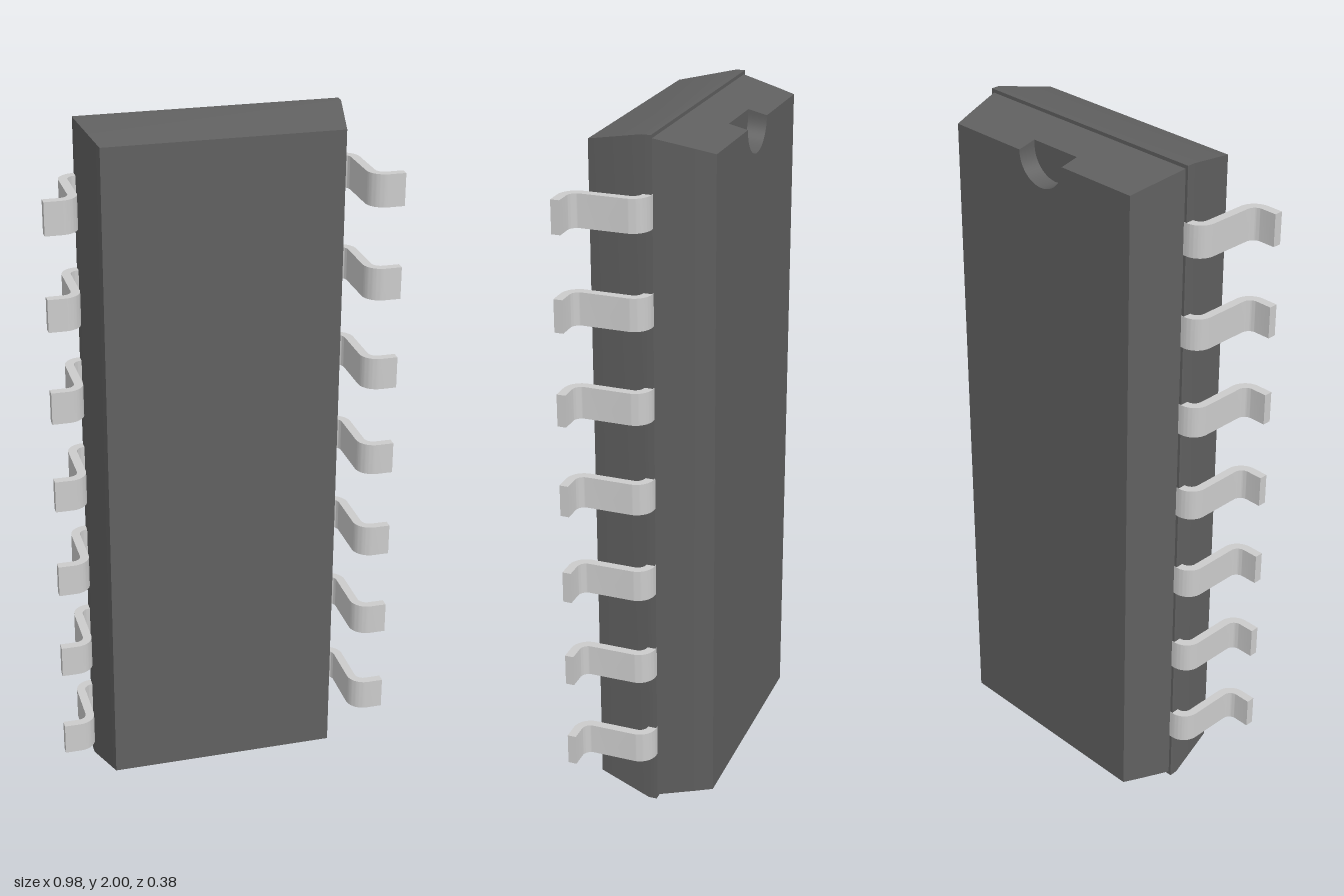
import * as THREE from 'three';
import { toCreasedNormals } from 'three/addons/utils/BufferGeometryUtils.js';

const bodyMaterial = new THREE.MeshStandardMaterial({ color: 0x606060 });
const leadMaterial = new THREE.MeshStandardMaterial({ color: 0xcccccc });

// Outline of the body: half width w, inset from both ends, optional round notch in the top end.
const NOTCH_RADIUS = 0.08, NOTCH_Y = 1.953;
function outline(w, inset, notched) {
  const top = 2 - inset;
  const points = [[-w, inset], [w, inset], [w, top]];
  if (notched) {
    points.push([NOTCH_RADIUS, top]);
    for (let i = 0; i <= 24; i++) {
      const a = -Math.PI * i / 24;
      points.push([NOTCH_RADIUS * Math.cos(a), NOTCH_Y + NOTCH_RADIUS * Math.sin(a)]);
    }
    points.push([-NOTCH_RADIUS, top]);
  }
  points.push([-w, top]);
  return points.map(([x, y]) => new THREE.Vector2(x, y));
}

// Solid through sections { z, points }, ordered from back to front, with both ends closed.
function loft(sections) {
  const positions = [];
  const put = (section, i) => positions.push(section.points[i].x, section.points[i].y, section.z);
  for (let k = 0; k < sections.length - 1; k++) {
    const a = sections[k], b = sections[k + 1], n = a.points.length;
    for (let i = 0; i < n; i++) {
      const j = (i + 1) % n;
      put(a, i); put(a, j); put(b, j);
      put(a, i); put(b, j); put(b, i);
    }
  }
  const back = sections[0], front = sections[sections.length - 1];
  for (const [i, j, k] of THREE.ShapeUtils.triangulateShape(front.points, [])) {
    put(front, i); put(front, j); put(front, k);
  }
  for (const [i, j, k] of THREE.ShapeUtils.triangulateShape(back.points, [])) {
    put(back, i); put(back, k); put(back, j);
  }
  const geometry = new THREE.BufferGeometry();
  geometry.setAttribute('position', new THREE.Float32BufferAttribute(positions, 3));
  geometry.computeVertexNormals();
  return toCreasedNormals(geometry, 0.3);
}

function addMesh(parent, name, geometry, material) {
  const mesh = new THREE.Mesh(geometry, material);
  mesh.name = name;
  parent.add(mesh);
  return mesh;
}

// Bent strip: shoulder, rounded bend, leg, rounded bend, foot.
function leadGeometry() {
  const inner = 0.025, outer = 0.05, width = 0.092;
  const shape = new THREE.Shape();
  shape.moveTo(0.34, 0.035);
  shape.lineTo(0.369, 0.035);
  shape.absarc(0.369, -0.015, outer, Math.PI / 2, 0, true);
  shape.lineTo(0.419, -0.141);
  shape.absarc(0.444, -0.141, inner, Math.PI, Math.PI * 1.5, false);
  shape.lineTo(0.49, -0.166);
  shape.lineTo(0.49, -0.191);
  shape.lineTo(0.444, -0.191);
  shape.absarc(0.444, -0.141, outer, Math.PI * 1.5, Math.PI, true);
  shape.lineTo(0.394, -0.015);
  shape.absarc(0.369, -0.015, inner, 0, Math.PI / 2, false);
  shape.lineTo(0.34, 0.01);
  const geometry = new THREE.ExtrudeGeometry(shape, { depth: width, bevelEnabled: false, curveSegments: 10 });
  geometry.translate(0, 0, -width / 2);
  geometry.rotateX(-Math.PI / 2);
  return toCreasedNormals(geometry, 0.5);
}

export function createModel() {
  const model = new THREE.Group();
  model.name = 'integratedCircuit';

  // Body: tapered front half with a straight rim, stepped-in back half, notched back layer
  const body = new THREE.Group();
  body.name = 'body';
  model.add(body);
  addMesh(body, 'frontHalf', loft([
    { z: -0.034, points: outline(0.368, 0) },
    { z: -0.009, points: outline(0.368, 0) },
    { z: 0.152, points: outline(0.333, 0.035) },
  ]), bodyMaterial);
  addMesh(body, 'backHalf', loft([
    { z: -0.141, points: outline(0.337, 0.033) },
    { z: -0.034, points: outline(0.36, 0.01) },
  ]), bodyMaterial);
  addMesh(body, 'notchedBack', loft([
    { z: -0.194, points: outline(0.325, 0.045, true) },
    { z: -0.141, points: outline(0.337, 0.033, true) },
  ]), bodyMaterial);

  // Seven leads along each side
  const lead = leadGeometry();
  for (const side of ['left', 'right']) {
    const row = new THREE.Group();
    row.name = side + 'Leads';
    model.add(row);
    for (let i = 0; i < 7; i++) {
      const mesh = addMesh(row, side + 'Lead' + (i + 1), lead, leadMaterial);
      mesh.position.y = 1 + (i - 3) * 0.2665;
      if (side === 'right') mesh.rotation.z = Math.PI;
    }
  }
  return model;
}
